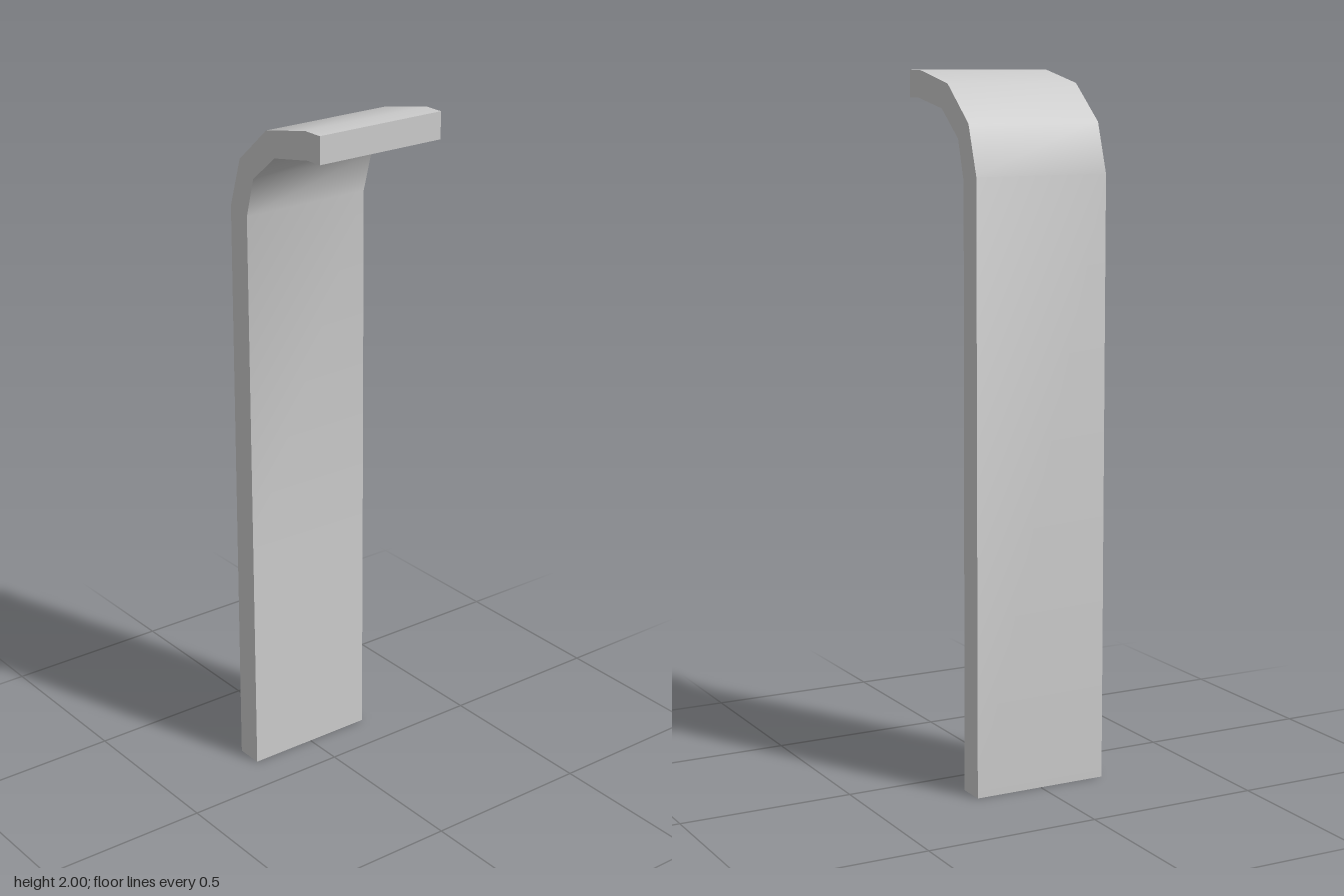
import * as THREE from 'three';
import { toCreasedNormals } from 'three/addons/utils/BufferGeometryUtils.js';

export function createModel() {
  const group = new THREE.Group();
  group.name = 'curvedBracket';
  const width = 0.4;

  // Side outline: up the outer face, round the bend, back down the inner face
  const outer = [[-0.2, 0], [-0.2, 1.72], [-0.155, 1.86], [-0.033, 1.964], [0.137, 2], [0.2, 2]];
  const inner = [[0.2, 1.924], [0.148, 1.924], [0.003, 1.897], [-0.094, 1.818], [-0.126, 1.705], [-0.122, 0.7], [-0.12, 0]];
  const outline = [...outer, ...inner].map(([x, y]) => new THREE.Vector2(x, y));

  // Strip of constant width, smooth through the bend and sharp at its rims
  const geometry = new THREE.ExtrudeGeometry(new THREE.Shape(outline), { depth: width, bevelEnabled: false });
  geometry.translate(0, 0, -width / 2);

  const strip = new THREE.Mesh(
    toCreasedNormals(geometry, THREE.MathUtils.degToRad(45)),
    new THREE.MeshStandardMaterial({ color: 0xcccccc })
  );
  strip.name = 'bentStrip';
  group.add(strip);
  return group;
}
